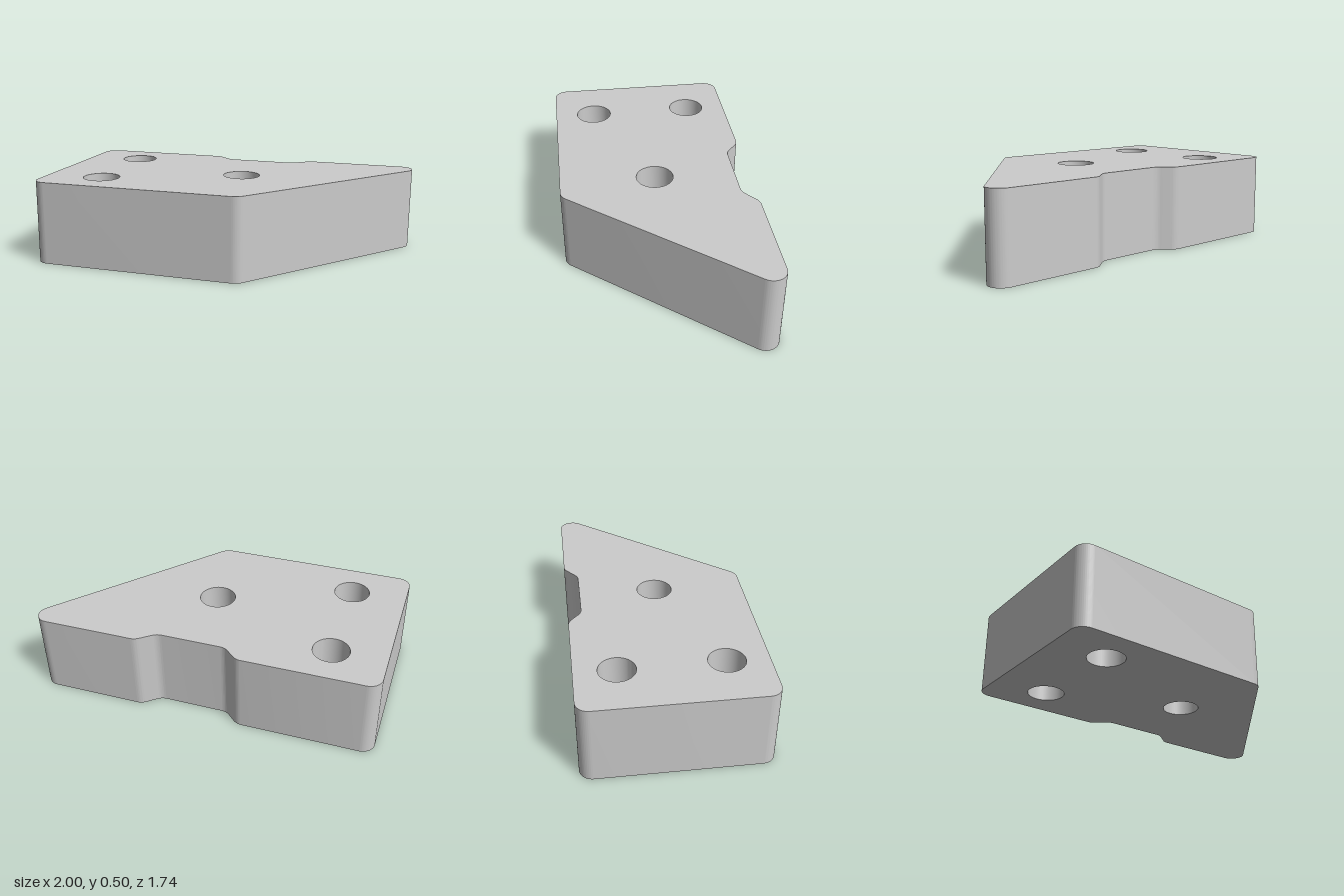
import * as THREE from 'three';
import { toCreasedNormals } from 'three/addons/utils/BufferGeometryUtils.js';

const HEIGHT = 0.5;
const FILLET = 0.08;
const HOLE_RADIUS = 0.11;

// Sharp corners of the outline as [x, z], before rounding
const corners = [
  [-1.022, -0.171], [-0.635, 0.886], [0.555, 0.453], [1.058, -0.93],
  [0.345, -0.67], [0.275, -0.553], [-0.125, -0.408], [-0.24, -0.455],
];
const holes = [[-0.623, -0.05], [0.238, -0.03], [-0.401, 0.535]];

// Closed outline with every corner rounded by a tangent arc
function roundedOutline(points, radius) {
  const shape = new THREE.Shape();
  const n = points.length;
  points.forEach((p, i) => {
    const a = points[(i + n - 1) % n].clone().sub(p).normalize();
    const b = points[(i + 1) % n].clone().sub(p).normalize();
    const half = Math.acos(a.dot(b)) / 2;
    const reach = radius / Math.tan(half);
    const centre = a.clone().add(b).setLength(radius / Math.sin(half)).add(p);
    const start = a.clone().multiplyScalar(reach).add(p).sub(centre);
    const end = b.clone().multiplyScalar(reach).add(p).sub(centre);
    shape.absarc(centre.x, centre.y, radius, start.angle(), end.angle(), a.cross(b) > 0);
  });
  shape.closePath();
  return shape;
}

export function createModel() {
  const group = new THREE.Group();
  group.name = 'mountingBlock';

  // The plan is drawn with y = -z, then laid flat
  const outline = roundedOutline(corners.map(([x, z]) => new THREE.Vector2(x, -z)), FILLET);
  for (const [x, z] of holes) {
    outline.holes.push(new THREE.Path().absarc(x, -z, HOLE_RADIUS, 0, Math.PI * 2, true));
  }

  // Plate with three through holes
  let geometry = new THREE.ExtrudeGeometry(outline, {
    depth: HEIGHT, bevelEnabled: false, curveSegments: 24,
  });
  geometry.rotateX(-Math.PI / 2);
  geometry = toCreasedNormals(geometry, Math.PI / 6);

  const plate = new THREE.Mesh(geometry, new THREE.MeshStandardMaterial({ color: 0xcccccc }));
  plate.name = 'drilledPlate';
  group.add(plate);
  return group;
}
